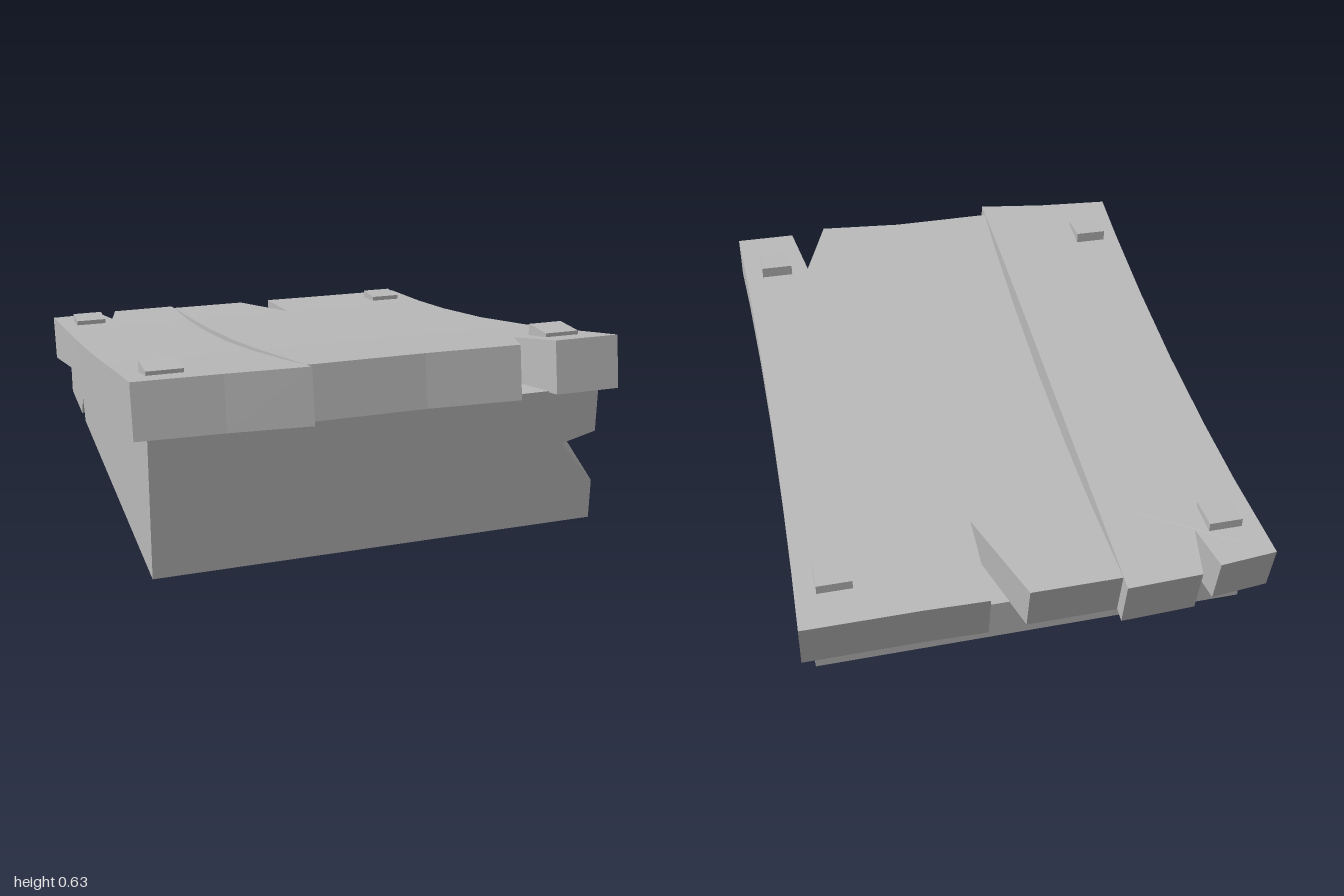
import * as THREE from 'three';

const grey = new THREE.MeshStandardMaterial({ color: 0xbababa, side: THREE.DoubleSide });
grey.name = 'plain grey';

// Piecewise-linear height of the ramp, [z, y] from back to front
const lerpTable = (table, z) => {
  let i = 0;
  while (i < table.length - 2 && z > table[i + 1][0]) i++;
  const [[z0, y0], [z1, y1]] = [table[i], table[i + 1]];
  return y0 + (y1 - y0) * (z - z0) / (z1 - z0);
};
const topY = z => lerpTable([[-1, 0.285], [-0.7, 0.318], [-0.35, 0.367], [0, 0.425], [0.35, 0.494], [0.7, 0.57], [0.97, 0.63]], z);
const underY = z => lerpTable([[-0.97, 0.115], [-0.67, 0.172], [-0.32, 0.247], [0.03, 0.315], [0.38, 0.373], [0.73, 0.424], [1, 0.46]], z);

// Adds a polygon, every triangle turned to face along the hint
function addPoly(out, pts, hint) {
  const n = new THREE.Vector3(...hint);
  const drop = hint.map(Math.abs).indexOf(Math.max(...hint.map(Math.abs)));
  const [u, v] = [0, 1, 2].filter(k => k !== drop);
  const flat = pts.map(p => new THREE.Vector2(p[u], p[v]));
  for (const f of THREE.ShapeUtils.triangulateShape(flat, [])) {
    const [a, b, c] = f.map(i => new THREE.Vector3(...pts[i]));
    const normal = b.clone().sub(a).cross(c.clone().sub(a));
    const order = normal.dot(n) < 0 ? [a, c, b] : [a, b, c];
    order.forEach(p => out.push(p.x, p.y, p.z));
  }
}

function makeMesh(name, out) {
  const g = new THREE.BufferGeometry();
  g.setAttribute('position', new THREE.Float32BufferAttribute(out, 3));
  g.computeVertexNormals();
  const mesh = new THREE.Mesh(g, grey);
  mesh.name = name;
  return mesh;
}

// Bent board: left and right edge rules, broken front and back ends listed left to right
function makePlank(name, leftX, rightX, front, back) {
  const rows = [0.7, 0.35, 0, -0.35, -0.62];
  const L = rows.map(z => [leftX(z), z]);
  const R = rows.map(z => [rightX(z), z]);
  const up = ([x, z]) => [x, topY(z), z];
  const down = ([x, z]) => [x, underY(z + 0.03), z + 0.03];
  const out = [];
  const last = rows.length - 1;
  const pieces = [[...front, R[0], L[0]], [...back, R[last], L[last]]];
  for (let i = 0; i < last; i++) pieces.push([L[i], R[i], R[i + 1], L[i + 1]]);
  for (const piece of pieces) {
    addPoly(out, piece.map(up), [0, 1, 0]);
    addPoly(out, piece.map(down), [0, -1, 0]);
  }
  // Rim, anticlockwise from above
  const rim = [...[...L].reverse(), ...front, ...R, ...[...back].reverse()];
  rim.forEach((p, i) => {
    const q = rim[(i + 1) % rim.length];
    const [a, b, c, d] = [down(p), down(q), up(q), up(p)];
    for (const t of [a, b, c, a, c, d]) out.push(...t);
  });
  return makeMesh(name, out);
}

// Hollow wedge, open underneath, with a torn front corner and a nick in one side
function makeBase() {
  const base = new THREE.Group();
  base.name = 'base';
  const X = 0.717, F = 0.905, B = -0.835;
  const lid = z => underY(z) + 0.004;
  const topLine = x => [F, 0.73, 0.38, 0.03, -0.32, -0.67, B].map(z => [x, lid(z), z]);

  const upper = [X, 0.3, F], lower = [X, 0.13, F];
  const tearFront = [0.6, 0.27, F], tearSide = [X, 0.235, 0.66], pit = [0.645, 0.25, 0.82];

  const front = [];
  addPoly(front, [[-X, 0, F], [X, 0, F], lower, tearFront, upper, [X, lid(F), F], [-X, lid(F), F]], [0, 0, 1]);
  base.add(makeMesh('frontWall', front));

  const back = [];
  addPoly(back, [[-X, 0, B], [X, 0, B], [X, lid(B), B], [-X, lid(B), B]], [0, 0, -1]);
  base.add(makeMesh('backWall', back));

  const left = [];
  addPoly(left, [[X, 0, B], [X, 0, F], lower, tearSide, upper, ...topLine(X)], [1, 0, 0]);
  base.add(makeMesh('leftWall', left));

  const nick = [[-X, 0, -0.55], [-X, 0.085, -0.5], [-X, 0, -0.46]];
  const right = [];
  addPoly(right, [[-X, 0, B], ...nick, [-X, 0, F], ...topLine(-X)], [-1, 0, 0]);
  const fold = [-X + 0.06, 0.03, -0.5];
  addPoly(right, [nick[0], nick[1], fold], [-1, 0, 0]);
  addPoly(right, [nick[1], nick[2], fold], [-1, 0, 0]);
  base.add(makeMesh('rightWall', right));

  const dent = [];
  addPoly(dent, [upper, tearFront, pit], [0, 0, 1]);
  addPoly(dent, [upper, pit, tearSide], [1, 0, 0]);
  addPoly(dent, [lower, tearFront, pit], [0, 0, 1]);
  addPoly(dent, [lower, pit, tearSide], [1, 0, 0]);
  base.add(makeMesh('tornCorner', dent));

  const cover = [];
  const a = topLine(-X), b = topLine(X);
  for (let i = 0; i < a.length - 1; i++) addPoly(cover, [a[i], b[i], b[i + 1], a[i + 1]], [0, 1, 0]);
  base.add(makeMesh('lid', cover));
  return base;
}

export function createModel() {
  const model = new THREE.Group();
  model.name = 'ramp';
  model.add(makeBase());

  // Outer edges waisted, inner edges bowed apart to leave a thin gap
  const outer = z => 0.745 + 0.02 * z * z;
  model.add(makePlank('narrowPlank', z => -outer(z), z => -0.265 + 0.015 * z * z,
    [[-0.763, 0.92], [-0.5, 0.937], [-0.25, 0.968]],
    [[-0.765, -0.953], [-0.57, -0.97], [-0.54, -0.81], [-0.5, -0.993], [-0.25, -1]]));
  model.add(makePlank('widePlank', z => -0.235 - 0.015 * z * z, outer,
    [[-0.25, 0.915], [0.12, 0.912], [0.42, 0.935], [0.515, 0.71], [0.55, 0.915], [0.763, 0.915]],
    [[-0.25, -0.955], [0.05, -0.955], [0.165, -0.63], [0.175, -0.96], [0.38, -0.955], [0.763, -0.955]]));

  // Square nail heads
  for (const x of [-0.64, 0.635]) {
    for (const [z, y] of [[0.745, 0.605], [-0.77, 0.335]]) {
      const nail = new THREE.Mesh(new THREE.BoxGeometry(0.113, 0.07, 0.113), grey);
      nail.name = 'nailHead';
      nail.position.set(x, y - 0.035, z);
      model.add(nail);
    }
  }
  return model;
}
